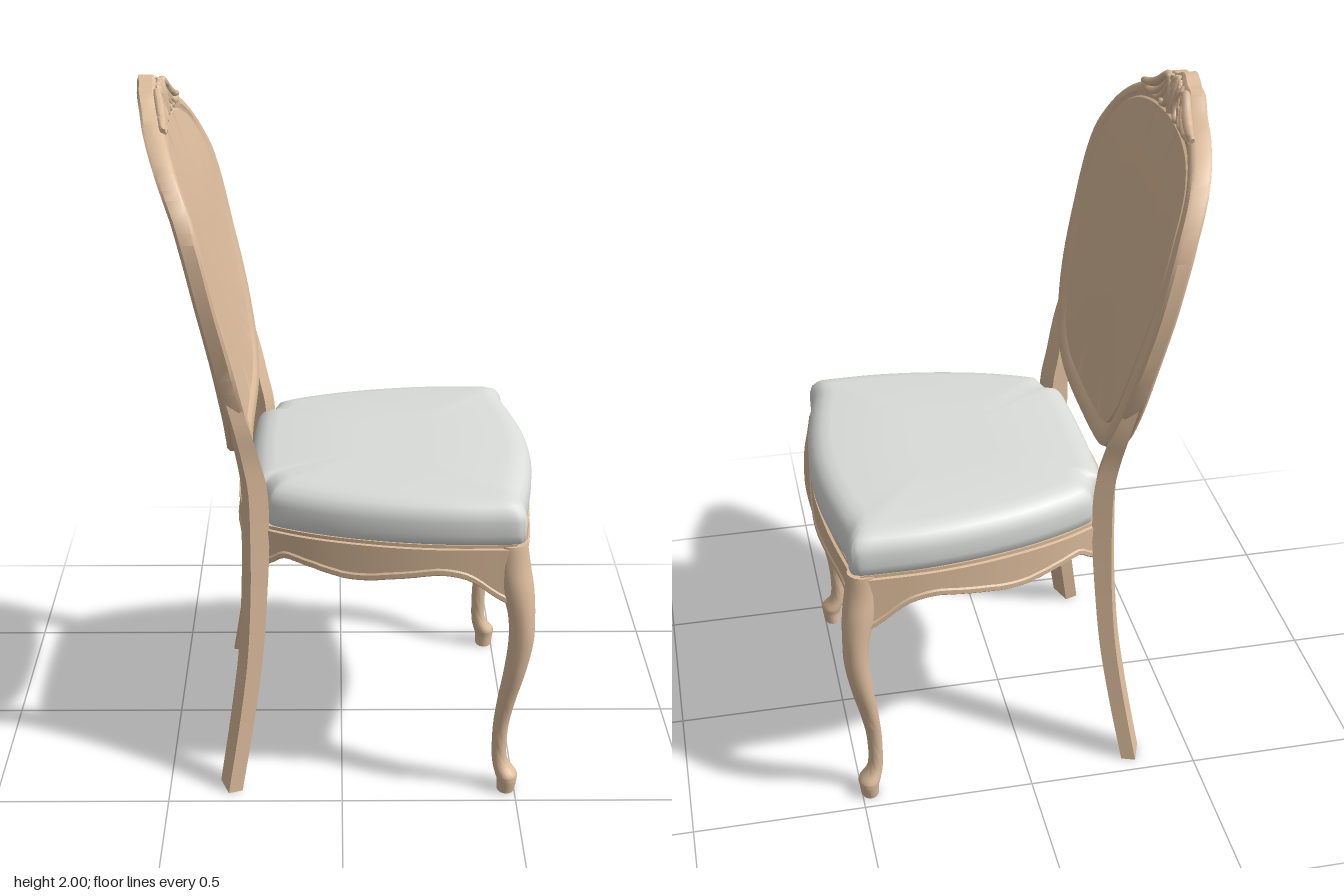
import * as THREE from 'three';
import { toCreasedNormals } from 'three/addons/utils/BufferGeometryUtils.js';

const V = (x, y, z) => new THREE.Vector3(x, y, z);
const lerp = THREE.MathUtils.lerp;

// Closed skin through a list of equal-length loops, with fan caps at both ends
function loft(loops, crease = 0.6) {
  const n = loops[0].length, tris = [];
  for (let i = 0; i < loops.length - 1; i++) {
    for (let j = 0; j < n; j++) {
      const k = (j + 1) % n;
      const a = loops[i][j], b = loops[i][k], c = loops[i + 1][k], d = loops[i + 1][j];
      tris.push([a, b, c], [a, c, d]);
    }
  }
  const cap = (loop, flip) => {
    const mid = V(0, 0, 0);
    loop.forEach((p) => mid.addScaledVector(p, 1 / n));
    loop.forEach((p, j) => {
      const q = loop[(j + 1) % n];
      tris.push(flip ? [mid, q, p] : [mid, p, q]);
    });
  };
  cap(loops[0], true);
  cap(loops[loops.length - 1], false);
  // Turn the skin outward whichever way the loops run
  let volume = 0;
  tris.forEach(([a, b, c]) => { volume += a.dot(b.clone().cross(c)); });
  if (volume < 0) tris.forEach((t) => t.reverse());
  const g = new THREE.BufferGeometry().setFromPoints(tris.flat());
  return toCreasedNormals(g, crease);
}

// Smooth samples of a 2D outline; half outlines are mirrored in the first coordinate
const sample2 = (pts, count, closed) => {
  const c = new THREE.CatmullRomCurve3(pts.map(([a, b]) => V(a, b, 0)), closed, 'catmullrom', 0.5);
  return Array.from({ length: count }, (_, i) => c.getPoint(i / (closed ? count : count - 1)));
};
const mirrorOutline = (half) => half.concat(half.slice(1, -1).reverse().map(([a, b]) => [-a, b]));

// Sloping, slightly hollow surface followed by the whole backrest; the front is thicker low down
const SLOPE = [-0.235, -0.255, -0.275, -0.297, -0.318, -0.341, -0.364, -0.386, -0.41, -0.443, -0.474, -0.498];
function onBack(z, y, d) {
  const s = Math.min(Math.max((y - 0.9) * 10, 0), 10.999), i = Math.floor(s);
  const rise = Math.min(Math.max((y - 0.95) / 0.5, 0), 1);
  const depth = d > 0 ? d * lerp(1.75, 1, rise) : d;
  return V(lerp(SLOPE[i], SLOPE[i + 1], s - i) - lerp(0.055, 0.03, rise) * (1 - (z / 0.42) ** 2) + depth, y, z);
}

const OUTER = mirrorOutline([[0, 0.94], [0.15, 0.955], [0.26, 1.0], [0.34, 1.09], [0.4, 1.22], [0.44, 1.4],
  [0.453, 1.55], [0.44, 1.68], [0.39, 1.78], [0.32, 1.85], [0.23, 1.9], [0.15, 1.935], [0.09, 1.975],
  [0.05, 1.982], [0, 2.0]]);
const INNER = mirrorOutline([[0, 1.01], [0.12, 1.02], [0.22, 1.05], [0.29, 1.12], [0.34, 1.25], [0.378, 1.42],
  [0.393, 1.56], [0.388, 1.67], [0.36, 1.755], [0.31, 1.815], [0.24, 1.855], [0.16, 1.876], [0.1, 1.884],
  [0.05, 1.888], [0, 1.89]]);

function backrestGeometry() {
  const count = 112, out = sample2(OUTER, count, true), inn = sample2(INNER, count, true);
  const frame = (k, d) => out.map((p, i) => onBack(lerp(p.x, inn[i].x, k), lerp(p.y, inn[i].y, k), d));
  const panel = (s, d) => inn.map((p) => onBack(p.x * s, 1.47 + (p.y - 1.47) * s, d));
  return loft([
    panel(0.15, -0.008), panel(0.4, -0.008), panel(0.7, -0.008), panel(0.99, -0.008), panel(1, -0.03),
    frame(0.12, -0.032), frame(0, -0.024), frame(0, 0.012), frame(0.1, 0.021), frame(0.35, 0.026),
    frame(0.75, 0.025), frame(0.97, 0.019), panel(0.99, 0.017), panel(0.98, 0.023),
    panel(0.7, 0.024), panel(0.4, 0.024), panel(0.15, 0.024),
  ]);
}

// Tapered carved scroll lying on the backrest
function scroll(pts, r, d) {
  const path = sample2(pts, 18, false);
  return loft(path.map((p, i) => {
    const a = path[Math.max(i - 1, 0)], b = path[Math.min(i + 1, 17)];
    const t = b.clone().sub(a).normalize(), w = r * (0.3 + 0.7 * Math.sin(Math.PI * (0.12 + 0.8 * i / 17)));
    return Array.from({ length: 8 }, (_, j) => {
      const q = j / 8 * Math.PI * 2, s = Math.cos(q) * w;
      return onBack(p.x - t.y * s, p.y + t.x * s, d + Math.sin(q) * w);
    });
  }), 1.2);
}

// Leg through rows of [y, x, z, halfX, halfZ]; sides = 4 gives a square section, turned by twist
function leg(rows, sides, steps, twist) {
  const pos = new THREE.CatmullRomCurve3(rows.map(([y, x, z]) => V(x, y, z)), false, 'catmullrom', 0.5);
  const size = new THREE.CatmullRomCurve3(rows.map((r) => V(r[3], 0, r[4])), false, 'catmullrom', 0.5);
  return loft(Array.from({ length: steps + 1 }, (_, i) => {
    const p = pos.getPoint(i / steps), h = size.getPoint(i / steps), k = sides === 4 ? Math.SQRT2 : 1;
    return Array.from({ length: sides }, (_, j) => {
      const q = (j + 0.5) / sides * Math.PI * 2;
      return V(Math.cos(q) * h.x * k, 0, Math.sin(q) * h.z * k).applyAxisAngle(V(0, 1, 0), twist).add(p);
    });
  }), 0.8);
}

// Seat rail along a plan curve of [x, z], with a shaped lower edge and bead
function rail(pts, low, side) {
  const n = 41, path = sample2(pts, n, false);
  const lows = sample2(low, n * 4, false);
  const lowAt = (u) => lows.find((p) => p.x >= u - 1e-6)?.y ?? low[low.length - 1][1];
  return loft(path.map((p, i) => {
    const a = path[Math.max(i - 1, 0)], b = path[Math.min(i + 1, n - 1)];
    const t = b.clone().sub(a).normalize(), nx = t.y * side, nz = -t.x * side, yl = lowAt(i / (n - 1));
    const at = (o, y) => V(p.x + nx * o, y, p.y + nz * o);
    return [at(-0.045, 0.8), at(-0.008, 0.8), at(-0.008, 0.79), at(0, 0.788), at(0, yl + 0.022),
      at(0.004, yl + 0.017), at(0.004, yl + 0.004), at(0, yl), at(-0.045, yl)];
  }), 0.5);
}

// Cushion plan, notched round the back posts
const SEAT = [[0.557, 0], [0.547, 0.15], [0.525, 0.29], [0.507, 0.38], [0.507, 0.44], [0.49, 0.466], [0.42, 0.47],
  [0.3, 0.469], [0.15, 0.452], [0, 0.42], [-0.12, 0.38], [-0.195, 0.345], [-0.207, 0.325], [-0.212, 0.3],
  [-0.225, 0.27], [-0.25, 0.262], [-0.258, 0.235], [-0.262, 0.12], [-0.264, 0]];

function cushionGeometry() {
  const plan = sample2(SEAT.concat(SEAT.slice(1, -1).reverse().map(([x, z]) => [x, -z])), 144, true);
  const ring = (inset, y) => plan.map((p) => V(0.15 + (p.x - 0.15) * (1 - inset / 0.4), y, p.y * (1 - inset / 0.45)));
  return loft([ring(0.3, 0.797), ring(0.012, 0.797), ring(0.002, 0.806), ring(0, 0.83), ring(0, 0.868),
    ring(0.006, 0.89), ring(0.02, 0.908), ring(0.042, 0.92), ring(0.07, 0.925), ring(0.3, 0.926)], 0.9);
}

export function createModel() {
  const group = new THREE.Group();
  group.name = 'diningChair';
  const wood = new THREE.MeshStandardMaterial({ color: 0xdcbc9c });
  const fabric = new THREE.MeshStandardMaterial({ color: 0xdadcd9 });
  const add = (name, geometry, material = wood) => {
    const mesh = new THREE.Mesh(geometry, material);
    mesh.name = name;
    group.add(mesh);
  };
  wood.name = 'paleWood';
  fabric.name = 'greyFabric';

  add('cushion', cushionGeometry(), fabric);
  add('backrest', backrestGeometry());

  // Front and rear rails
  add('frontRail', rail([[0.5, 0.44], [0.512, 0.38], [0.54, 0.2], [0.553, 0], [0.54, -0.2], [0.512, -0.38], [0.5, -0.44]],
    [[0, 0.62], [0.08, 0.65], [0.14, 0.69], [0.22, 0.708], [0.34, 0.698], [0.5, 0.677],
      [0.66, 0.698], [0.78, 0.708], [0.86, 0.69], [0.92, 0.65], [1, 0.62]], -1));
  add('rearRail', rail([[-0.262, 0.33], [-0.285, 0.2], [-0.302, 0], [-0.285, -0.2], [-0.262, -0.33]],
    [[0, 0.68], [0.15, 0.69], [0.3, 0.71], [0.5, 0.685], [0.7, 0.71], [0.85, 0.69], [1, 0.68]], 1));

  for (const s of [1, -1]) {
    const side = s > 0 ? 'left' : 'right';
    // Side rails
    add(side + 'SideRail', rail([[-0.23, 0.333], [-0.12, 0.385], [0, 0.424], [0.15, 0.456], [0.3, 0.471], [0.48, 0.47]]
      .map(([x, z]) => [x, z * s]),
    [[0, 0.675], [0.06, 0.69], [0.13, 0.714], [0.25, 0.702], [0.45, 0.68], [0.65, 0.698],
      [0.77, 0.71], [0.86, 0.695], [0.93, 0.65], [1, 0.61]], -s));
    // Curved front legs with small feet
    add(side + 'FrontLeg', leg([[0, 0.476, 0.432, 0.026, 0.034], [0.035, 0.478, 0.435, 0.029, 0.037],
      [0.055, 0.475, 0.433, 0.032, 0.038], [0.1, 0.456, 0.425, 0.022, 0.025], [0.2, 0.456, 0.426, 0.022, 0.025],
      [0.3, 0.469, 0.44, 0.026, 0.029], [0.4, 0.487, 0.457, 0.031, 0.035], [0.5, 0.501, 0.462, 0.035, 0.04],
      [0.58, 0.5, 0.459, 0.038, 0.042], [0.66, 0.488, 0.447, 0.046, 0.046], [0.73, 0.475, 0.434, 0.048, 0.045],
      [0.795, 0.468, 0.43, 0.045, 0.04]].map(([y, x, z, a, b]) => [y, x, z * s, a, b]), 16, 44, 0));
    // Rear legs running up into the back posts, turned to follow the hollow of the back
    add(side + 'RearLeg', leg([[0, -0.322, 0.417, 0.021, 0.038], [0.2, -0.289, 0.382, 0.022, 0.04],
      [0.4, -0.262, 0.352, 0.023, 0.041], [0.6, -0.249, 0.328, 0.025, 0.042], [0.75, -0.244, 0.317, 0.028, 0.04],
      [0.9, -0.245, 0.315, 0.028, 0.035], [1.0, -0.262, 0.322, 0.025, 0.033], [1.1, -0.283, 0.344, 0.022, 0.03],
      [1.2, -0.308, 0.362, 0.018, 0.022]].map(([y, x, z, a, b]) => [y, x, z * s, a, b]), 4, 32, 0.35 * s));
    // Carved leaves and scrolls of the crest
    const carvings = [
      [[[0.235, 1.9], [0.18, 1.912], [0.13, 1.935], [0.085, 1.968], [0.06, 1.965]], 0.014],
      [[[0.225, 1.893], [0.16, 1.895], [0.11, 1.915], [0.075, 1.95]], 0.012],
      [[[0.15, 1.89], [0.1, 1.898], [0.06, 1.94], [0.045, 1.98]], 0.01],
      [[[0.1, 1.908], [0.075, 1.893], [0.045, 1.9], [0.035, 1.935], [0.055, 1.965], [0.075, 1.945], [0.06, 1.93]], 0.01],
      [[[0.012, 1.895], [0.02, 1.93], [0.028, 1.965], [0.016, 1.985]], 0.011],
    ];
    carvings.forEach(([pts, r], i) => add(side + 'CrestCarving' + (i + 1), scroll(pts.map(([z, y]) => [z * s, y]), r, 0.024)));
  }
  add('crestCentre', scroll([[0, 1.89], [0, 1.93], [0, 1.97], [0, 1.992]], 0.016, 0.024));
  return group;
}
